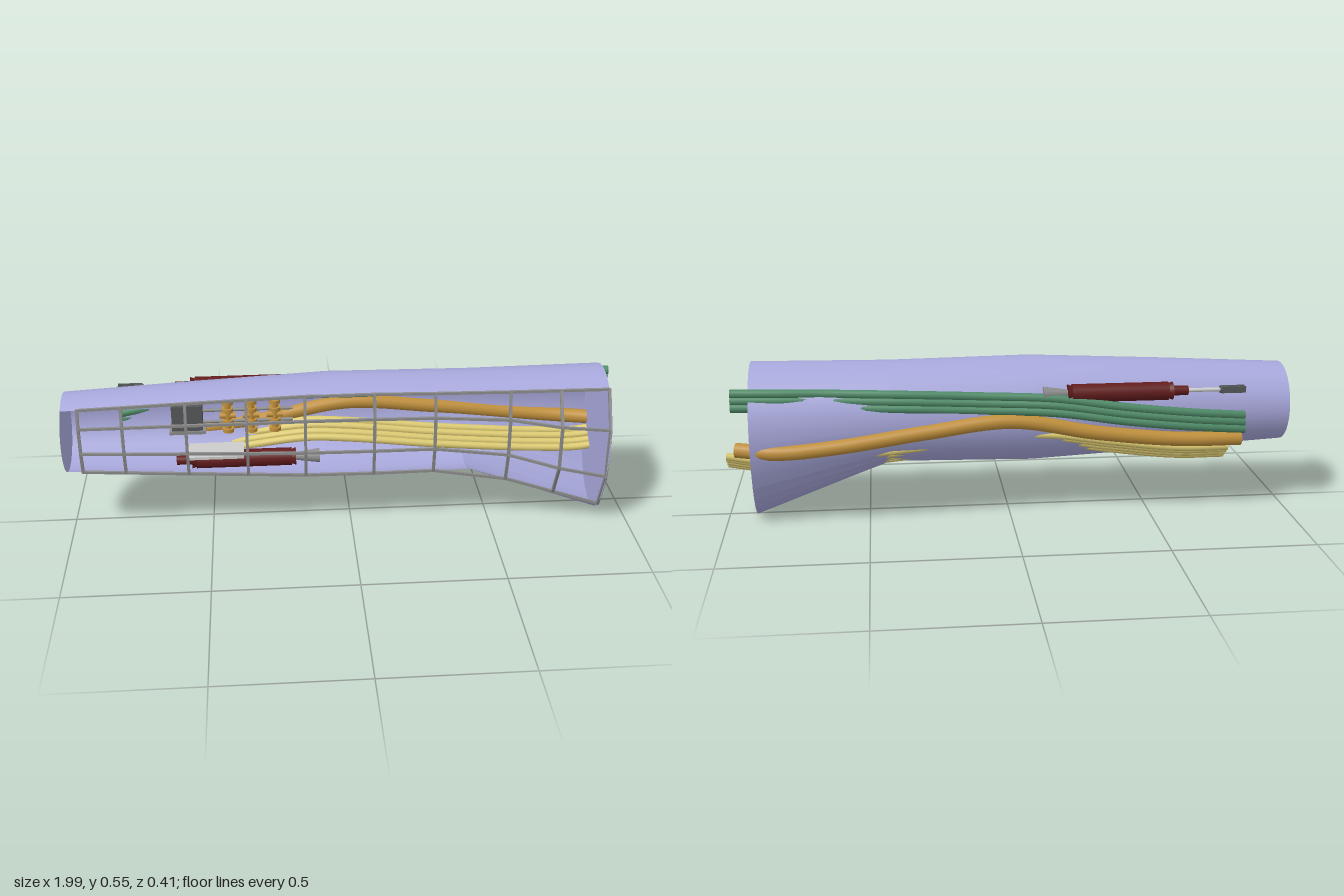
import * as THREE from 'three';
import { toCreasedNormals } from 'three/addons/utils/BufferGeometryUtils.js';

const mat = (color) => new THREE.MeshStandardMaterial({ color, side: THREE.DoubleSide });
const HULL = mat(0xa8a8dc), GREEN = mat(0x4f8a68), ORANGE = mat(0xc0903c), YELLOW = mat(0xdcca72);
const RED = mat(0x621c1c), GREY = mat(0xcccccc), STEEL = mat(0x8c8c8c), DARK = mat(0x55585a);

// Hull stations: x, top y, widest y, bottom y, half depth
const STATIONS = [
  [-1, 0.511, 0.37, 0.228, 0.142],
  [-0.55, 0.535, 0.37, 0.203, 0.16],
  [-0.08, 0.557, 0.37, 0.178, 0.174],
  [0.42, 0.55, 0.36, 0.19, 0.184],
  [0.9, 0.557, 0.32, 0.003, 0.192],
];
const SIDES = 32, CUT = 3, CZ = 0.012;

function stationAt(x) {
  let i = 0;
  while (i < STATIONS.length - 2 && x > STATIONS[i + 1][0]) i++;
  const a = STATIONS[i], b = STATIONS[i + 1], t = (x - a[0]) / (b[0] - a[0]);
  return a.map((v, k) => v + (b[k] - v) * t);
}

// Point on the egg-shaped section; k counts sides from the top towards the back
function hullPoint([x, top, mid, bottom, rz], k) {
  const a = (k / SIDES) * Math.PI * 2, c = Math.cos(a);
  return new THREE.Vector3(x, mid + c * (c > 0 ? top - mid : mid - bottom), CZ - rz * Math.sin(a));
}

function add(group, name, geometry, material, x = 0, y = 0, z = 0) {
  const mesh = new THREE.Mesh(geometry, material);
  mesh.name = name;
  mesh.position.set(x, y, z);
  group.add(mesh);
  return mesh;
}

// Cylinder lying along x, from x0 to x1
function rod(group, name, x0, x1, r, y, z, material, r1 = r) {
  const g = new THREE.CylinderGeometry(r, r1, x1 - x0, 20).rotateZ(Math.PI / 2);
  return add(group, name, g, material, (x0 + x1) / 2, y, z);
}

// Square bar between two points
function bar(group, name, a, b, w, material) {
  const m = add(group, name, new THREE.BoxGeometry(w, w, a.distanceTo(b) + w * 0.5), material);
  m.position.copy(a).lerp(b, 0.5);
  m.lookAt(b);
}

// Open wrap-around shell and its two closed ends
function buildHull() {
  const g = new THREE.Group();
  g.name = 'hull';
  const from = -CUT, to = SIDES / 2 + CUT, n = to - from + 1, pos = [], idx = [];
  STATIONS.forEach((s, i) => {
    for (let k = from; k <= to; k++) pos.push(...hullPoint(s, k).toArray());
    if (!i) return;
    for (let j = 0; j < n - 1; j++) {
      const a = (i - 1) * n + j, b = i * n + j;
      idx.push(a, b, a + 1, b, b + 1, a + 1);
    }
  });
  const geo = new THREE.BufferGeometry();
  geo.setAttribute('position', new THREE.Float32BufferAttribute(pos, 3));
  geo.setIndex(idx);
  // Outward winding
  const p = (i) => new THREE.Vector3().fromArray(pos, i * 3);
  const normal = p(n).sub(p(0)).cross(p(1).sub(p(0)));
  if (normal.y < 0) geo.setIndex(idx.slice().reverse());
  add(g, 'shell', toCreasedNormals(geo, 0.35), HULL);

  for (const [s, name, turn] of [[STATIONS[0], 'narrowEnd', -1], [STATIONS[4], 'wideEnd', 1]]) {
    const outline = [];
    for (let k = 0; k < SIDES; k++) {
      const q = hullPoint(s, k);
      outline.push(new THREE.Vector2(-q.z * turn, q.y));
    }
    const cap = new THREE.ShapeGeometry(new THREE.Shape(outline)).rotateY((turn * Math.PI) / 2);
    add(g, name, cap, HULL, s[0]);
  }
  return g;
}

// Ribs and stringers across the open front
function buildFrame() {
  const g = new THREE.Group();
  g.name = 'bayFrame';
  const xs = [-0.943, -0.794, -0.575, -0.366, -0.163, 0.078, 0.291, 0.553, 0.73, 0.9];
  const bulge = [0.012, 0.014, 0.016, 0.019, 0.02, 0.02, 0.02, 0.026, 0.062, 0.064];
  let last = null;
  xs.forEach((x, i) => {
    const s = stationAt(x), top = hullPoint(s, -CUT), low = hullPoint(s, SIDES / 2 + CUT);
    const nodes = [0, 0.28, 0.68, 1].map((t) => {
      const q = top.clone().lerp(low, t);
      if (t > 0 && t < 1) q.z += bulge[i];
      return q;
    });
    nodes.forEach((q, k) => {
      if (k) bar(g, 'rib', nodes[k - 1], q, 0.01, STEEL);
      if (last) bar(g, 'stringer', last[k], q, 0.009, STEEL);
    });
    last = nodes;
  });
  return g;
}

// Parallel pipes following one path, spread by [dy, dz] offsets
function pipes(name, path, offsets, r, material) {
  const g = new THREE.Group();
  g.name = name;
  for (const [dy, dz] of offsets) {
    const curve = new THREE.CatmullRomCurve3(path.map(([x, y, z]) => new THREE.Vector3(x, y + dy, z + dz)));
    add(g, 'pipe', new THREE.TubeGeometry(curve, 60, r, 14), material);
  }
  return g;
}

// Red cylinder with a piston rod, fork and mounting lug
function buildActuator(name, y, z, long) {
  const g = new THREE.Group();
  g.name = name;
  rod(g, 'body', -0.55, -0.21, 0.032, y, z, RED);
  rod(g, 'bodyShoulder', -0.21, -0.195, 0.026, y, z, RED, 0.032);
  rod(g, 'bodyShoulder', -0.565, -0.55, 0.032, y, z, RED, 0.026);
  rod(g, 'gland', -0.62, -0.565, 0.017, y, z, RED);
  rod(g, 'lug', -0.195, -0.11, 0.014, y, z, STEEL, 0.026);
  if (long) {
    rod(g, 'pistonRod', -0.75, -0.62, 0.007, y, z, GREY);
    rod(g, 'rodEnd', -0.765, -0.735, 0.013, y, z, DARK);
    for (const d of [-1, 1]) add(g, 'fork', new THREE.BoxGeometry(0.085, 0.022, 0.008), DARK, -0.783, y, z + d * 0.01);
  }
  return g;
}

// Control box, tray and row of orange valves
function buildEquipment() {
  const g = new THREE.Group();
  g.name = 'equipment';
  add(g, 'controlBox', new THREE.BoxGeometry(0.11, 0.1, 0.06), DARK, -0.58, 0.37, -0.08);
  add(g, 'controlBoxFoot', new THREE.BoxGeometry(0.13, 0.012, 0.07), STEEL, -0.58, 0.318, -0.08);
  add(g, 'tray', new THREE.BoxGeometry(0.2, 0.01, 0.11), GREY, -0.48, 0.282, 0.03);
  for (const y of [0.34, 0.385]) rod(g, 'valveRail', -0.525, -0.2, 0.006, y, -0.09, STEEL);
  for (const x of [-0.435, -0.35, -0.265]) {
    add(g, 'valveStem', new THREE.CylinderGeometry(0.012, 0.012, 0.12, 14), ORANGE, x, 0.36, -0.09);
    for (const y of [0.305, 0.34, 0.385, 0.415])
      add(g, 'valveCollar', new THREE.CylinderGeometry(0.021, 0.021, 0.014, 14), ORANGE, x, y, -0.09);
    rod(g, 'valvePort', x - 0.03, x + 0.03, 0.011, 0.362, -0.09, ORANGE);
  }
  return g;
}

export function createModel() {
  const model = new THREE.Group();
  model.name = 'tailSection';
  model.add(buildHull(), buildFrame());
  model.add(pipes('greenPipes', [
    [-0.83, 0.335, -0.145], [-0.65, 0.355, -0.168], [-0.4, 0.385, -0.176], [-0.15, 0.42, -0.166],
    [0.1, 0.43, -0.148], [0.4, 0.445, -0.15], [0.65, 0.45, -0.13], [0.8, 0.455, -0.133], [0.96, 0.457, -0.126],
  ], [[0.024, 0.004], [0, 0], [-0.024, -0.004]], 0.0155, GREEN));
  model.add(pipes('orangePipe', [
    [-0.82, 0.275, -0.14], [-0.6, 0.28, -0.148], [-0.3, 0.315, -0.157], [0, 0.367, -0.163],
    [0.3, 0.338, -0.172], [0.6, 0.298, -0.18], [0.8, 0.28, -0.17], [0.95, 0.283, -0.13],
  ], [[0, 0]], 0.026, ORANGE));
  model.add(pipes('yellowPipes', [
    [-0.78, 0.215, -0.09], [-0.6, 0.225, -0.115], [-0.35, 0.258, -0.125], [-0.15, 0.285, -0.115],
    [0, 0.282, -0.105], [0.3, 0.25, -0.1], [0.5, 0.232, -0.1], [0.7, 0.218, -0.1],
    [0.86, 0.217, -0.097], [0.985, 0.238, -0.096],
  ], [[-0.022, 0.028], [-0.008, 0.01], [0.008, -0.01], [0.022, -0.028]], 0.0135, YELLOW));
  model.add(buildActuator('upperActuator', 0.458, -0.148, true));
  model.add(buildActuator('lowerActuator', 0.245, 0.02, false));
  model.add(buildEquipment());
  return model;
}
